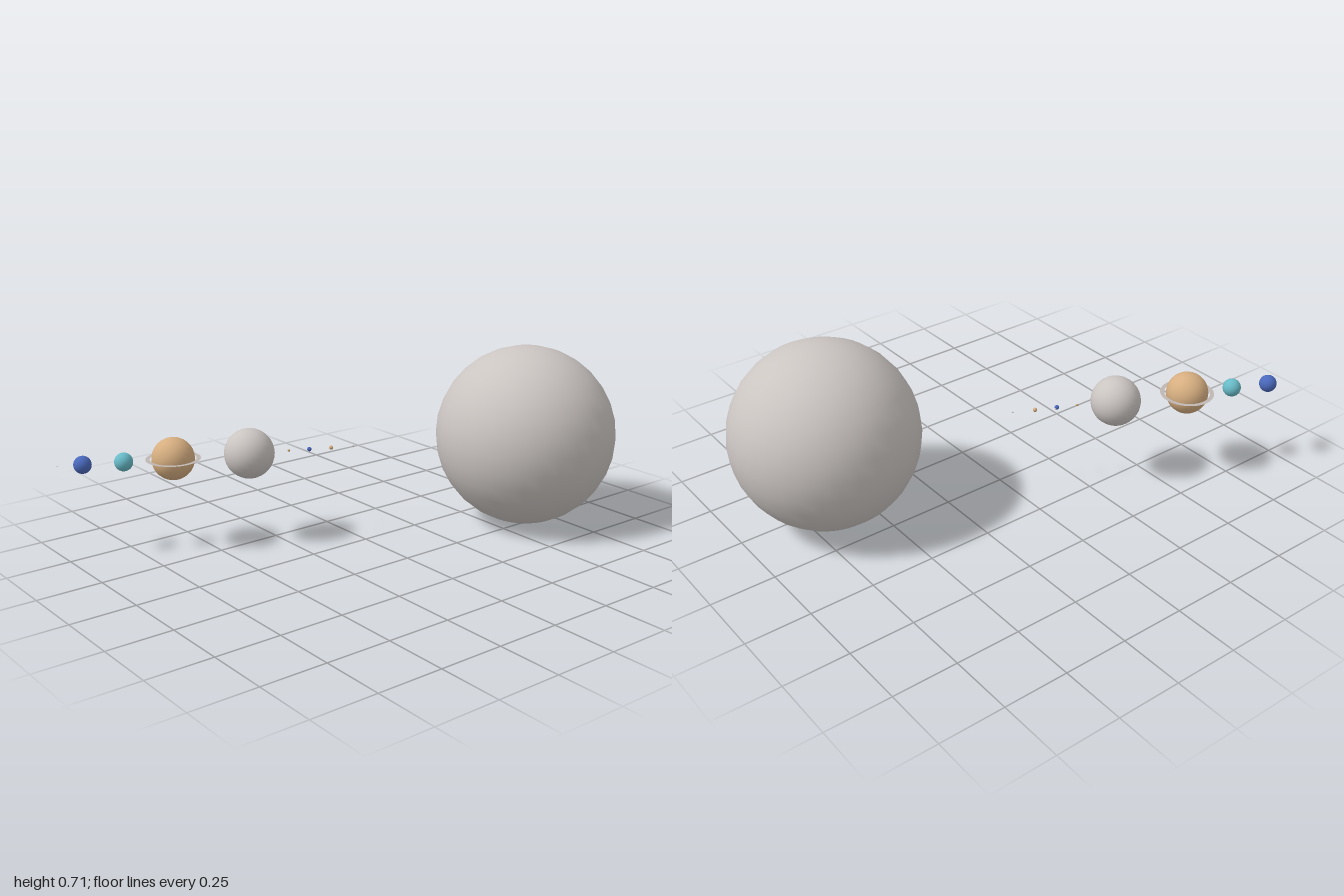
import * as THREE from 'three';

const paint = (name, color) => {
  const m = new THREE.MeshStandardMaterial({ color });
  m.name = name;
  return m;
};

export function createModel() {
  const group = new THREE.Group();
  group.name = 'planetRow';

  const paleGrey = paint('paleGrey', 0xcbc5c2);
  const tan = paint('tan', 0xd6ae80);
  const cyan = paint('cyan', 0x68bbc8);
  const blue = paint('blue', 0x4a69bd);
  const amber = paint('amber', 0xc39a58);
  const ringGrey = paint('ringGrey', 0xbfb7b2);
  ringGrey.side = THREE.DoubleSide;

  // All bodies share one height and lie along one slanted line
  const height = 0.356;
  const lineZ = (x) => 0.21 + (x - 0.643) * 0.47;
  const addBall = (name, x, radius, material, z = lineZ(x)) => {
    const ball = new THREE.Mesh(new THREE.SphereGeometry(radius, 32, 16), material);
    ball.name = name;
    ball.position.set(x, height, z);
    group.add(ball);
    return ball;
  };

  // Central star and its planets, from nearest to farthest
  addBall('star', 0.643, 0.355, paleGrey);
  addBall('firstPlanet', 0.008, 0.0033, paleGrey);
  addBall('secondPlanet', -0.07, 0.008, tan);
  addBall('thirdPlanet', -0.147, 0.0085, blue);
  addBall('moon', -0.136, 0.0024, paleGrey, -0.167);
  addBall('fourthPlanet', -0.219, 0.0046, amber);
  addBall('largePlanet', -0.356, 0.096, paleGrey);
  const ringed = addBall('ringedPlanet', -0.615, 0.081, tan);
  addBall('cyanPlanet', -0.78, 0.035, cyan);
  addBall('bluePlanet', -0.915, 0.0335, blue);
  addBall('dwarfPlanet', -0.998, 0.0016, paleGrey);

  // Flat ring around the tan planet
  const ring = new THREE.Mesh(new THREE.RingGeometry(0.087, 0.103, 64), ringGrey);
  ring.name = 'ring';
  ring.rotation.x = -Math.PI / 2;
  ringed.add(ring);

  return group;
}
